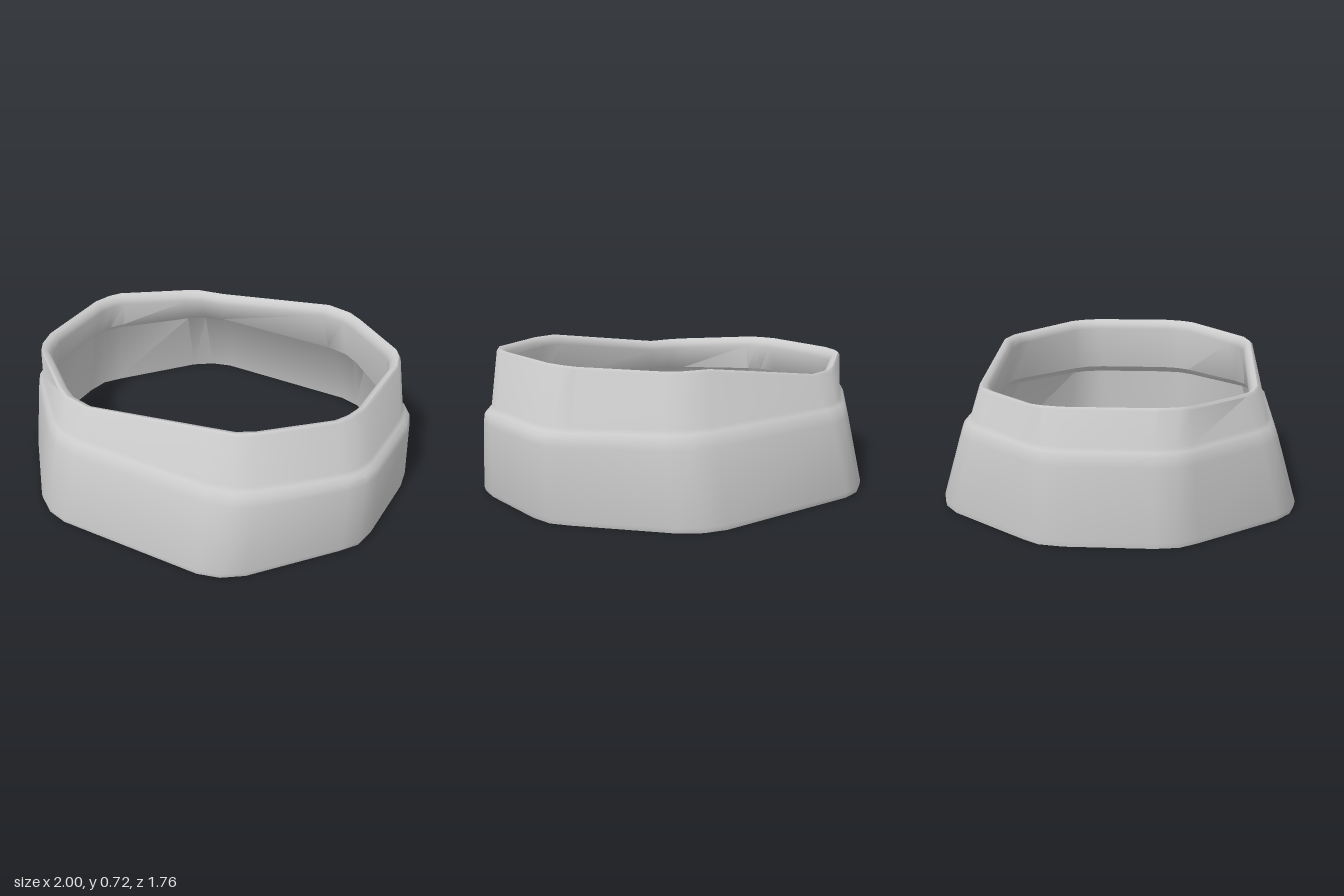
import * as THREE from 'three';
import { toCreasedNormals } from 'three/addons/utils/BufferGeometryUtils.js';

// Quarter outline of the rounded octagon, as fractions of the half extents, at the foot and at the rim
const FOOT = [[1, 0.23], [0.98, 0.36], [0.92, 0.455], [0.6, 0.885], [0.5, 0.965], [0.39, 1]];
const RIM = [[1, 0.31], [0.97, 0.45], [0.93, 0.54], [0.61, 0.885], [0.52, 0.96], [0.37, 1]];

// Wavy rim height along x
const WAVE = [[-0.92, 0.622], [-0.5, 0.604], [-0.3, 0.6], [0.33, 0.7], [0.53, 0.701], [0.92, 0.726]];
function rimHeight(x) {
  for (let i = 1; i < WAVE.length; i++) {
    const [x0, y0] = WAVE[i - 1], [x1, y1] = WAVE[i];
    if (x <= x1 || i === WAVE.length - 1) {
      return y0 + (y1 - y0) * THREE.MathUtils.clamp((x - x0) / (x1 - x0), 0, 1);
    }
  }
}

// One closed outline: half extents to +x, -x and z; t blends foot shape into rim shape
function outline(xPos, xNeg, z, t) {
  const quarter = FOOT.map(([a, b], i) => [
    THREE.MathUtils.lerp(a, RIM[i][0], t), THREE.MathUtils.lerp(b, RIM[i][1], t)]);
  const back = [...quarter].reverse();
  return [
    ...quarter.map(([a, b]) => [a * xPos, b * z]),
    ...back.map(([a, b]) => [-a * xNeg, b * z]),
    ...quarter.map(([a, b]) => [-a * xNeg, -b * z]),
    ...back.map(([a, b]) => [a * xPos, -b * z]),
  ];
}

// Cross-section loops: y, +x, -x, z, blend, follows rim wave (y is then an offset)
const SECTIONS = [
  // outer skirt
  [0, 0.992, 0.995, 0.878, 0],
  [0.025, 1, 0.998, 0.882, 0],
  [0.36, 0.997, 0.962, 0.788, 0.3],
  [0.405, 0.99, 0.955, 0.773, 0.4],
  [0.425, 0.968, 0.943, 0.755, 0.45],
  [0.445, 0.953, 0.928, 0.738, 0.5],
  // outer collar and rounded rim
  [-0.012, 0.913, 0.917, 0.694, 0.9, true],
  [0, 0.902, 0.906, 0.682, 1, true],
  [-0.006, 0.88, 0.884, 0.662, 1, true],
  [-0.025, 0.864, 0.866, 0.649, 1, true],
  [-0.05, 0.858, 0.86, 0.643, 1, true],
  // inner wall
  [0.43, 0.9, 0.885, 0.69, 0.5],
  [0.39, 0.96, 0.93, 0.745, 0.4],
  [0.02, 0.978, 0.978, 0.86, 0],
  [0, 0.98, 0.982, 0.866, 0],
];

function shellGeometry() {
  const positions = [], index = [];
  const count = FOOT.length * 4, rows = SECTIONS.length;
  for (const [y, xPos, xNeg, z, t, wave] of SECTIONS) {
    for (const [px, pz] of outline(xPos, xNeg, z, t)) {
      positions.push(px, wave ? rimHeight(px) + y : y, pz);
    }
  }
  for (let r = 0; r < rows; r++) {
    const next = (r + 1) % rows; // last loop closes under the foot
    for (let i = 0; i < count; i++) {
      const j = (i + 1) % count;
      const a = r * count + i, b = r * count + j;
      const c = next * count + j, d = next * count + i;
      index.push(a, d, b, b, d, c);
    }
  }
  const geometry = new THREE.BufferGeometry();
  geometry.setAttribute('position', new THREE.Float32BufferAttribute(positions, 3));
  geometry.setIndex(index);
  return toCreasedNormals(geometry, 0.75);
}

export function createModel() {
  const group = new THREE.Group();
  group.name = 'octagonalCollar';
  const shell = new THREE.Mesh(shellGeometry(),
    new THREE.MeshStandardMaterial({ color: 0xcccccc, side: THREE.DoubleSide }));
  shell.name = 'collarShell';
  group.add(shell);
  return group;
}
